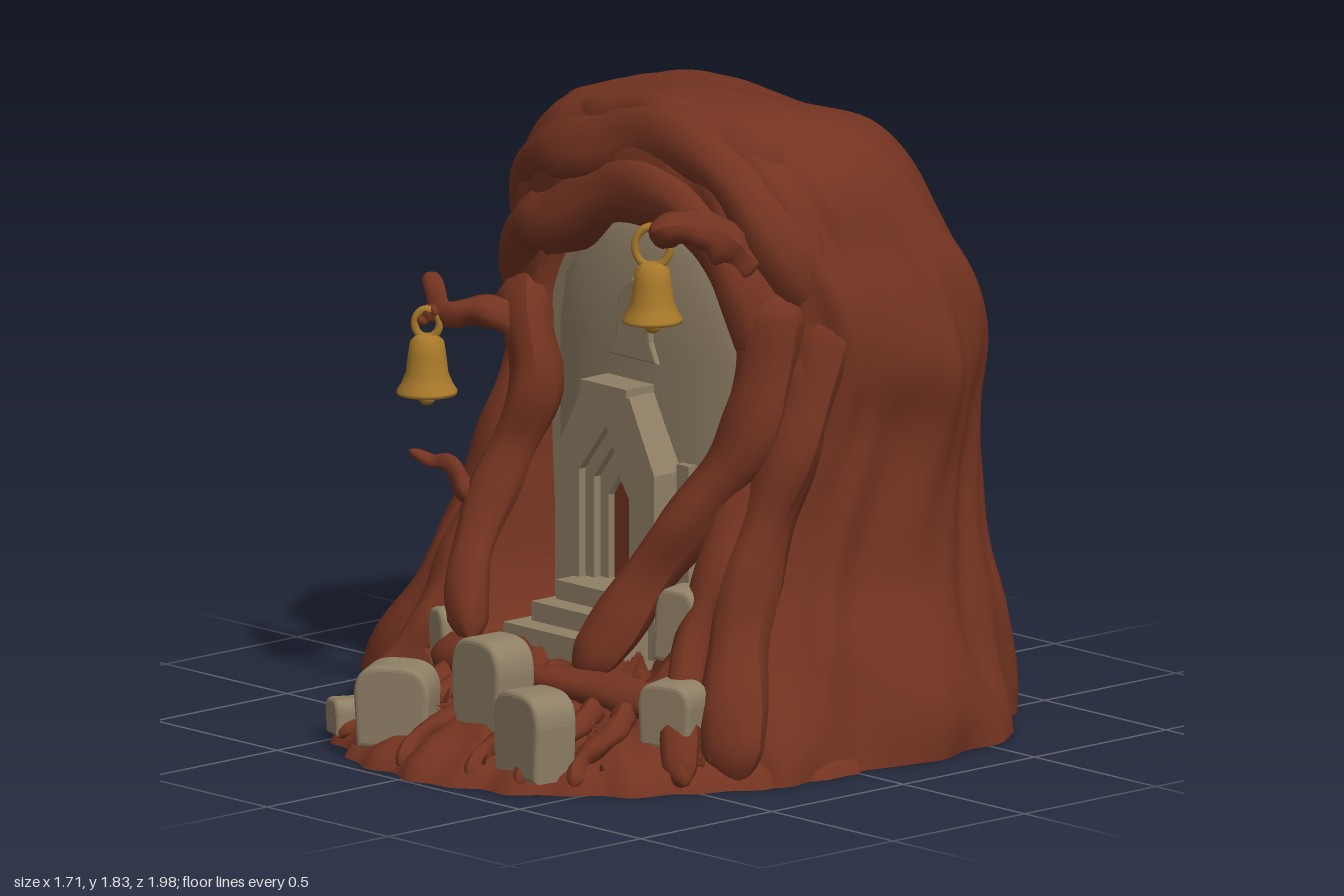
import * as THREE from 'three';

const V = (p) => new THREE.Vector3(...p);
const mat = (name, color, side = THREE.FrontSide) => {
  const m = new THREE.MeshStandardMaterial({ color, side });
  m.name = name;
  return m;
};

export function createModel() {
  const group = new THREE.Group();
  const bark = mat('bark', 0x733320, THREE.DoubleSide);
  const stone = mat('stone', 0x8f7f65);
  const gold = mat('gold', 0xa8792a, THREE.DoubleSide);
  const add = (name, geo, m, pos = [0, 0, 0], rot = [0, 0, 0], parent = group) => {
    const mesh = new THREE.Mesh(geo, m);
    mesh.name = name;
    mesh.position.set(...pos);
    mesh.rotation.set(...rot);
    parent.add(mesh);
    return mesh;
  };

  // Trunk: lofted rings [y, left x, right x, front z, back z] with a recess in the front
  const rings = [
    [0, -.83, .83, .58, -.985], [.1, -.81, .82, .54, -.985], [.3, -.74, .76, .44, -.945],
    [.5, -.66, .69, .34, -.91], [.7, -.6, .67, .25, -.885], [.9, -.57, .69, .18, -.865],
    [1.1, -.58, .73, .16, -.845], [1.3, -.62, .7, .16, -.8], [1.45, -.62, .64, .17, -.74],
    [1.6, -.58, .58, .17, -.66], [1.7, -.5, .49, .15, -.57], [1.76, -.4, .4, .12, -.42],
    [1.8, -.22, .28, .07, -.24], [1.81, 0, 0, -.05, -.05],
  ];
  const low = new THREE.CatmullRomCurve3(rings.map((r) => V([r[1], r[0], r[4]])));
  const high = new THREE.CatmullRomCurve3(rings.map((r) => V([r[2], r[0], r[3]])));
  const N = 180, M = 91, pos = [], idx = [];
  const power = (c, e) => Math.sign(c) * Math.abs(c) ** e;
  for (let j = 0; j <= M; j++) {
    const a = low.getPoint(j / M), b = high.getPoint(j / M), y = Math.max(0, a.y);
    const rough = 1 - .6 * THREE.MathUtils.smoothstep(y, 1.5, 1.8);
    for (let i = 0; i < N; i++) {
      const t = i / N * Math.PI * 2, full = Math.sin(t) < 0 ? .68 : .84;
      const bump = 1 + rough * (.016 * Math.sin(7 * t + 1.6 * Math.sin(3 * y)) + .015 * Math.sin(13 * t - 2 * Math.sin(2.5 * y) + 1)
        + .011 * Math.sin(23 * t + 2 * Math.sin(4 * y)) + .016 * Math.sin(9 * y + 5 * t) * Math.sin(3 * t)
        + .016 * Math.sin(6 * y + 11 * t) * Math.sin(8 * y - 4 * t));
      const x = (a.x + b.x) / 2 + (b.x - a.x) / 2 * power(Math.cos(t), full) * bump;
      let z = (a.z + b.z) / 2 - (b.z - a.z) / 2 * power(Math.sin(t), full) * bump;
      const e = ((x - .03) / .43) ** 4 + ((y - .85) / .65) ** 4;
      if (z > -.1) z = THREE.MathUtils.lerp(z, -.1, 1 - THREE.MathUtils.smoothstep(e, .8, 1.2));
      const top = THREE.MathUtils.smoothstep(y, 1.4, 1.75) * .02;
      pos.push(x, y + top * Math.sin(9 * x + 1) * Math.cos(7 * z), z);
    }
  }
  for (let j = 0; j < M; j++) for (let i = 0; i < N; i++) {
    const k = (i + 1) % N, a = j * N + i, b = j * N + k;
    idx.push(a, b, b + N, a, b + N, a + N);
  }
  const trunk = new THREE.BufferGeometry();
  trunk.setAttribute('position', new THREE.Float32BufferAttribute(pos, 3));
  trunk.setIndex(idx);
  trunk.computeVertexNormals();
  add('trunk', trunk, bark);

  // Root mound in front of the trunk
  const prof = [[.99, 0], [.96, .045], [.88, .08], [.78, .115], [.68, .16], [.6, .2], [.52, .24], [.46, .26], [.3, .28], [0, .28]];
  const mound = new THREE.LatheGeometry(prof.map((p) => new THREE.Vector2(...p)), 120, -Math.PI / 2, Math.PI);
  const mp = mound.attributes.position;
  for (let i = 0; i < mp.count; i++) {
    const x = mp.getX(i), y = mp.getY(i), z = mp.getZ(i), a = Math.atan2(x, z);
    const f = 1 + .012 * Math.sin(17 * a) + .012 * Math.sin(31 * a + 1);
    mp.setXYZ(i, x * .83 * f, y * (1 + .14 * Math.sin(11 * a + 9 * z) + .1 * Math.sin(27 * a - 20 * z)), z * .99 * f);
  }
  mound.computeVertexNormals();
  add('mound', mound, bark);

  // Flat underside, cut straight towards the front
  const floor = new THREE.Shape();
  floor.absellipse(0, 0, .8, .95, Math.PI - .68, Math.PI * 2 + .68, false);
  add('base', new THREE.ShapeGeometry(floor, 48), stone, [0, .002, 0], [Math.PI / 2, 0, 0]);

  // Tapered, slightly knotted limbs: radius r0 to r1 along the points
  const limb = (name, r0, r1, ...pts) => {
    const curve = new THREE.CatmullRomCurve3(pts.map(V));
    const seg = 44, sides = 12;
    const geo = new THREE.TubeGeometry(curve, seg, 1, sides), p = geo.attributes.position, v = new THREE.Vector3();
    for (let i = 0; i <= seg; i++) {
      const t = i / seg, c = curve.getPointAt(t);
      const r = (r0 + (r1 - r0) * t) * Math.min(1, Math.sqrt(Math.min(t, 1 - t) * 16) + .01);
      for (let k = 0; k <= sides; k++) {
        const n = i * (sides + 1) + k, a = k / sides * Math.PI * 2;
        v.fromBufferAttribute(p, n).sub(c).multiplyScalar(r * (1 + .12 * Math.sin(3 * a + 9 * t) + .07 * Math.sin(24 * t)));
        p.setXYZ(n, c.x + v.x, c.y + v.y, c.z + v.z);
      }
    }
    geo.computeVertexNormals();
    add(name, geo, bark);
  };
  limb('archRoot', .1, .08, [-.53, 1.1, -.08], [-.49, 1.3, .03], [-.4, 1.4, .08], [-.27, 1.42, .12], [-.12, 1.51, .13], [.08, 1.57, .13], [.28, 1.53, .13], [.44, 1.38, .11], [.53, 1.1, .06]);
  limb('browRoot', .1, .1, [-.54, 1.3, -.1], [-.48, 1.5, -.01], [-.36, 1.6, .05], [-.15, 1.64, .09], [.1, 1.71, .07], [.34, 1.64, .06], [.5, 1.48, .02], [.57, 1.25, -.1]);
  limb('crownRoot', .07, .08, [-.45, 1.63, -.06], [-.2, 1.7, .05], [.04, 1.76, .04], [.3, 1.7, .02], [.45, 1.63, -.08]);
  limb('rightLimb', .09, .07, [.51, 1.36, .04], [.53, 1.1, .09], [.5, .9, .14], [.41, .73, .23], [.31, .55, .32], [.25, .38, .41], [.2, .24, .5]);
  limb('rightOuterLimb', .08, .09, [.6, 1.3, -.1], [.6, .95, .03], [.56, .7, .12], [.57, .45, .22], [.64, .22, .31], [.72, .0, .38]);
  limb('rightFoot', .06, .05, [.47, .86, .12], [.5, .6, .23], [.5, .38, .34], [.57, .18, .45], [.66, .0, .53]);
  limb('leftLimb', .08, .055, [-.54, 1.2, 0], [-.43, 1.1, .11], [-.38, .95, .13], [-.42, .76, .18], [-.43, .58, .27], [-.38, .42, .38], [-.27, .27, .48]);
  limb('leftOuterLimb', .08, .09, [-.54, 1.15, -.08], [-.49, .88, .07], [-.53, .62, .17], [-.56, .4, .28], [-.65, .2, .35], [-.74, .0, .38]);
  limb('leftFoot', .06, .05, [-.44, .7, .19], [-.49, .45, .32], [-.51, .28, .41], [-.57, .12, .51], [-.62, .0, .58]);
  limb('leftBranch', .055, .022, [-.42, 1.08, .1], [-.53, 1.13, .19], [-.62, 1.12, .25], [-.66, 1.18, .25], [-.72, 1.21, .22]);
  limb('leftTwig', .03, .02, [-.62, 1.13, .25], [-.65, 1.12, .28], [-.67, 1.09, .31]);
  limb('lowerBranch', .04, .013, [-.42, .6, .22], [-.48, .63, .29], [-.53, .71, .31], [-.59, .71, .33], [-.64, .74, .37]);
  limb('rightBranch', .07, .04, [.47, 1.4, .09], [.42, 1.51, .19], [.36, 1.53, .27], [.3, 1.5, .32]);
  limb('frontRoot', .055, .05, [-.42, .22, .45], [-.2, .22, .51], [.05, .22, .54], [.28, .23, .51], [.52, .2, .43]);
  for (const [x, z, x2, z2] of [[-.3, .5, -.42, .84], [-.1, .56, -.05, .95], [.16, .56, .2, .92], [.4, .5, .48, .78], [-.46, .42, -.66, .55], [.5, .4, .68, .54], [-.2, .54, -.28, .9], [.3, .52, .36, .88]]) {
    limb('moundRoot', .035, .027, [x, .19, z], [x * .6 + x2 * .4 + .03, .145, z * .6 + z2 * .4], [x * .25 + x2 * .75 - .02, .08, z * .25 + z2 * .75], [x2, .025, z2]);
  }

  // Stone wall with a broad rounded front inside the hollow
  const polygon = (pts) => new THREE.Shape(pts.map((p) => new THREE.Vector2(...p)));
  const extrude = (shape, depth, bevel = 0) => new THREE.ExtrudeGeometry(shape, {
    depth, bevelEnabled: bevel > 0, bevelSize: bevel, bevelThickness: bevel, bevelSegments: 3, curveSegments: 16 });
  const wall = new THREE.Shape();
  wall.moveTo(-.42, .2).lineTo(.48, .2).lineTo(.48, 1.05).absellipse(.03, 1.05, .45, .47, 0, Math.PI, false).lineTo(-.42, .2);
  add('wall', extrude(wall, .1), stone, [0, 0, -.06]);
  const tower = new THREE.LatheGeometry([[.4, .25], [.4, 1.1], [.375, 1.25], [.3, 1.38], [.2, 1.45], [.1, 1.485], [0, 1.5]]
    .map((p) => new THREE.Vector2(...p)), 40, -Math.PI / 2, Math.PI);
  add('tower', tower, stone, [.02, 0, .02]).scale.z = .24;

  // Nested portal frames around a pointed door
  const arch = (w, y0, shoulder, peak) => [[-w, y0], [w, y0], [w, shoulder], [0, peak], [-w, shoulder]];
  const frame = (name, outline, hole, z, depth) => {
    const s = polygon(outline);
    s.holes.push(polygon(hole));
    add(name, extrude(s, depth), stone, [0, 0, z]);
  };
  frame('portal', [[-.21, .25], [.2, .25], [.2, .78], [.09, 1], [-.09, 1], [-.21, .78]], arch(.11, .3, .75, .89), .06, .15);
  frame('doorFrame', arch(.115, .3, .76, .9), arch(.075, .31, .73, .83), .1, .085);
  frame('innerFrame', arch(.08, .3, .74, .84), arch(.042, .31, .68, .74), .1, .06);
  add('door', extrude(polygon(arch(.045, .4, .69, .75)), .008), bark, [0, 0, .13]);
  for (const x of [-.24, .23]) add('pilaster', new THREE.BoxGeometry(.05, .55, .06), stone, [x, .53, .1]);
  add('lintel', new THREE.BoxGeometry(.19, .025, .16), stone, [0, 1, .14]);

  // Bell-shaped niche above the portal
  const niche = new THREE.Shape();
  niche.moveTo(-.09, 1.08).lineTo(.09, 1.08).lineTo(.065, 1.13).lineTo(.055, 1.23)
    .quadraticCurveTo(.05, 1.27, 0, 1.3).quadraticCurveTo(-.05, 1.27, -.055, 1.23).lineTo(-.065, 1.13).lineTo(-.09, 1.08);
  add('niche', extrude(niche, .02, .008), stone, [.02, 0, .1]);

  // Steps
  [[.37, .33, .42], [.29, .385, .35], [.24, .44, .28]].forEach(([w, y, z]) =>
    add('step', new THREE.BoxGeometry(w, .16, z - .05), stone, [-.01, y - .08, (z + .05) / 2]));

  // Round-topped standing stones: x, bottom y, z, width, height, depth, turn, tilt
  const slab = (x, y, z, w, h, d, turn, tilt = 0) => {
    const s = new THREE.Shape(), a = w / 2 - .015;
    s.moveTo(-a * .92, 0).lineTo(a * .92, 0).lineTo(a, h * .62).bezierCurveTo(a, h * .95, a * .5, h - .012, 0, h - .012)
      .bezierCurveTo(-a * .5, h - .012, -a, h * .95, -a, h * .62).lineTo(-a * .92, 0);
    const geo = extrude(s, d - .03, .015);
    geo.translate(0, 0, -d / 2 + .015);
    add('standingStone', geo, stone, [x, y, z], [0, turn, tilt]);
  };
  slab(-.21, .05, .81, .22, .22, .14, .55);
  slab(.055, .11, .69, .21, .26, .14, -.05);
  slab(.335, .05, .79, .22, .23, .14, -.13);
  slab(-.45, .035, .77, .13, .085, .11, -.5, .1);
  slab(.55, .12, .46, .17, .17, .12, .3);
  slab(-.39, .18, .44, .1, .16, .09, -.3, .1);
  slab(.42, .32, .32, .13, .2, .1, .3, -.1);

  // Hanging bells: hook, flared body and clapper
  const bellProfile = [[0, .19], [.03, .188], [.048, .17], [.054, .13], [.06, .08], [.072, .05], [.085, .03], [.085, .02], [.07, .025], [0, .1]]
    .map((p) => new THREE.Vector2(...p));
  const bell = (name, x, y, z, ringR) => {
    const g = new THREE.Group();
    g.name = name;
    g.position.set(x, y, z);
    group.add(g);
    add('bellBody', new THREE.LatheGeometry(bellProfile, 28), gold, [0, 0, 0], [0, 0, 0], g);
    add('bellBand', new THREE.TorusGeometry(.079, .006, 8, 28), gold, [0, .026, 0], [Math.PI / 2, 0, 0], g);
    add('clapper', new THREE.SphereGeometry(.026, 14, 10), gold, [0, .012, 0], [0, 0, 0], g);
    add('hook', new THREE.TorusGeometry(ringR, .011, 8, 24), gold, [0, .185 + ringR, 0], [0, .7, 0], g).scale.y = 1.15;
  };
  bell('rightBell', .29, 1.235, .3, .05);
  bell('leftBell', -.645, .87, .295, .035);

  // Leafy tufts scattered along the mound
  let seed = 7;
  const rnd = () => (seed = (seed * 16807) % 2147483647) / 2147483647;
  const blade = new THREE.ConeGeometry(.016, .085, 4);
  for (let i = 0; i < 90; i++) {
    const a = (rnd() - .5) * 2.6, r = .55 + rnd() * .4;
    const y = r > .78 ? .12 - (r - .78) * .45 : .2 - (r - .6) * .44;
    add('tuft', blade, bark, [Math.sin(a) * r * .83, y + .012, Math.cos(a) * r * .97], [rnd() * 1.6, 0, (rnd() - .5) * 2]);
  }
  return group;
}
